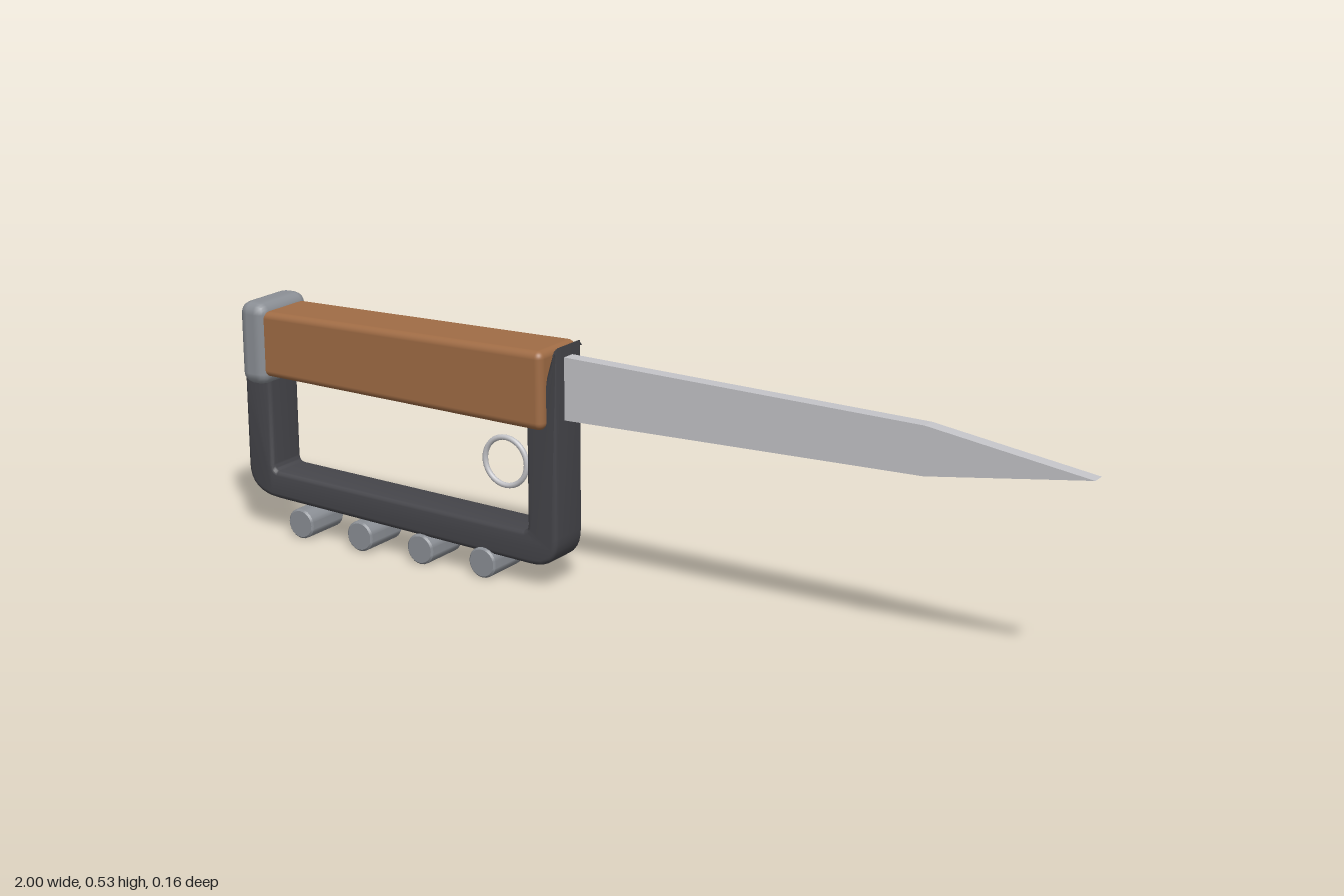
import * as THREE from 'three';
import { toCreasedNormals } from 'three/addons/utils/BufferGeometryUtils.js';
import { RoundedBoxGeometry } from 'three/addons/geometries/RoundedBoxGeometry.js';

export function createModel() {
  const model = new THREE.Group();
  const material = (name, color) => {
    const m = new THREE.MeshStandardMaterial({ color });
    m.name = name;
    return m;
  };
  const wood = material('brown wood', 0xa06c45);
  const iron = material('dark iron', 0x45454a);
  const steel = material('grey steel', 0x8b8f95);
  const bright = material('bright steel', 0xc4c4c8);

  const add = (name, geometry, mat, x = 0, y = 0, z = 0) => {
    const mesh = new THREE.Mesh(geometry, mat);
    mesh.name = name;
    mesh.position.set(x, y, z);
    model.add(mesh);
    return mesh;
  };

  // Slab centred on z = 0, optionally with rounded edges inside the outline
  const slab = (shape, depth, bevel = 0) => {
    const g = new THREE.ExtrudeGeometry(shape, {
      depth: depth - 2 * bevel, curveSegments: 8, bevelEnabled: bevel > 0,
      bevelThickness: bevel, bevelSize: bevel, bevelOffset: -bevel, bevelSegments: 3,
    });
    g.translate(0, 0, -depth / 2 + bevel);
    return g;
  };

  // Blade: flat bar tapering to a point
  const bladeShape = new THREE.Shape([
    [-0.21, 0.37], [0.645, 0.388], [0.995, 0.438], [0.645, 0.489], [-0.21, 0.506],
  ].map(([x, y]) => new THREE.Vector2(x, y)));
  add('blade', slab(bladeShape, 0.031), bright);

  // Handle: rounded bar, slightly taller towards the blade
  const grip = new RoundedBoxGeometry(0.76, 0.16, 0.14, 4, 0.016);
  const p = grip.attributes.position;
  for (let i = 0; i < p.count; i++) {
    const t = p.getX(i) / 0.76 + 0.5;
    p.setY(i, p.getY(i) * (0.9 + 0.16 * t));
  }
  add('handle', grip, wood, -0.578, 0.439, 0);

  // Pommel cap
  add('pommel', new RoundedBoxGeometry(0.07, 0.185, 0.162, 2, 0.026), steel, -0.952, 0.438, 0);

  // Knuckle guard: U-shaped frame with a pointed front post
  const guard = new THREE.Shape();
  guard.moveTo(-1, 0.365);
  guard.lineTo(-1, 0.15);
  guard.quadraticCurveTo(-1, 0.086, -0.92, 0.082);
  guard.lineTo(-0.245, 0.053);
  guard.quadraticCurveTo(-0.176, 0.05, -0.176, 0.12);
  guard.lineTo(-0.176, 0.53);
  guard.lineTo(-0.183, 0.522);
  guard.lineTo(-0.203, 0.455);
  guard.lineTo(-0.25, 0.37);
  guard.lineTo(-0.25, 0.14);
  guard.quadraticCurveTo(-0.25, 0.125, -0.265, 0.125);
  guard.lineTo(-0.915, 0.144);
  guard.quadraticCurveTo(-0.93, 0.145, -0.93, 0.16);
  guard.lineTo(-0.93, 0.365);
  guard.closePath();
  add('knuckleGuard', toCreasedNormals(slab(guard, 0.1, 0.01), 0.6), iron);

  // Row of studs under the guard, with softened rims
  const studProfile = [[0, -0.056], [0.03, -0.056], [0.034, -0.052],
    [0.034, 0.052], [0.03, 0.056], [0, 0.056]].map(([r, y]) => new THREE.Vector2(r, y));
  const stud = toCreasedNormals(new THREE.LatheGeometry(studProfile, 24), 0.6);
  stud.rotateX(Math.PI / 2);
  for (let i = 0; i < 4; i++) add('stud' + (i + 1), stud, steel, -0.853 + i * 0.163, 0.036, 0);

  // Finger ring
  add('ring', new THREE.TorusGeometry(0.053, 0.006, 10, 40), bright, -0.336, 0.252, 0);

  return model;
}
